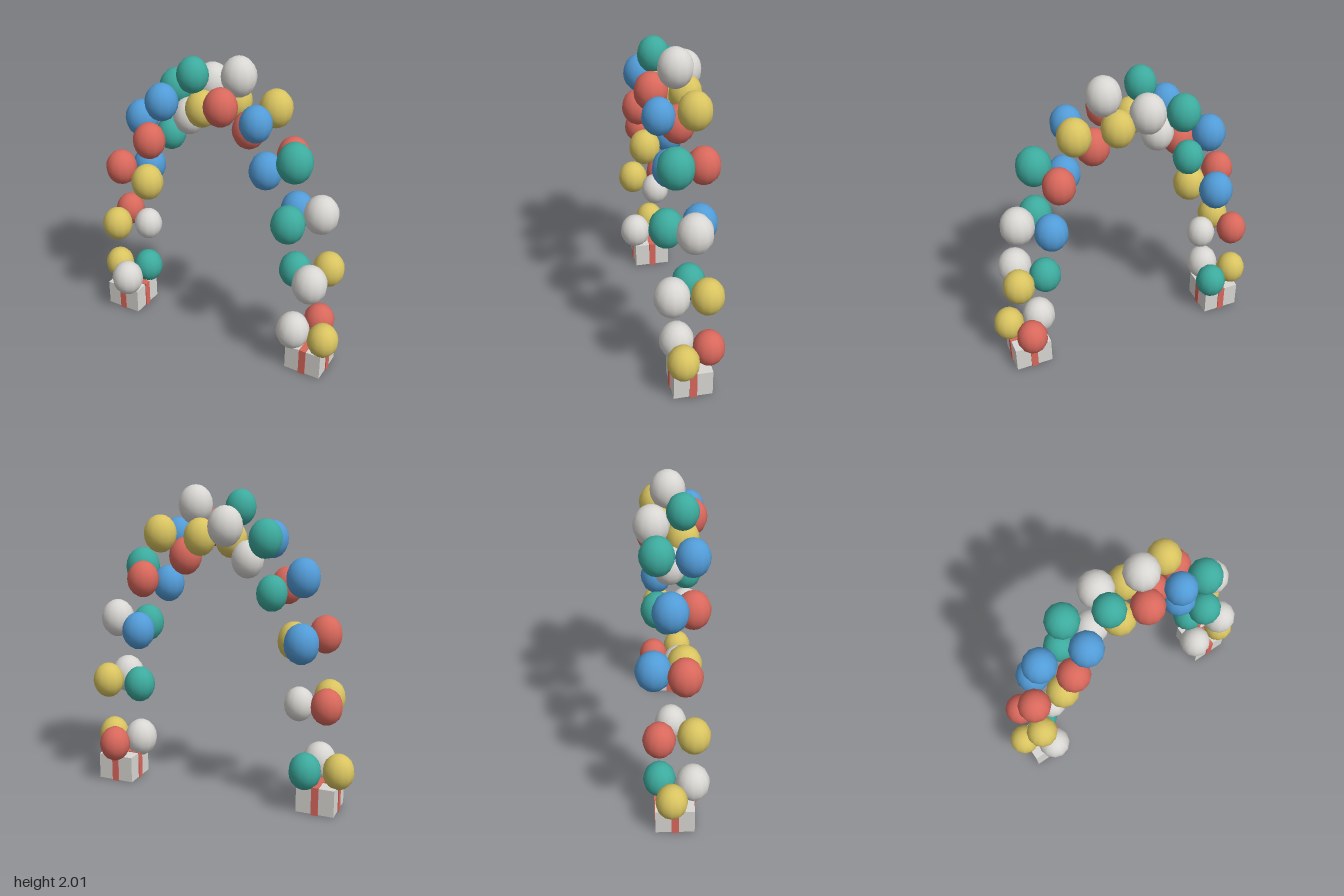
import * as THREE from 'three';

const mat = (name, color) => Object.assign(new THREE.MeshStandardMaterial({ color }), { name });

export function createModel() {
  const colours = {
    r: mat('red', 0xd9685c),
    t: mat('teal', 0x3dab9e),
    b: mat('blue', 0x529cd8),
    y: mat('yellow', 0xd9c460),
    w: mat('white', 0xd9d7d3),
  };
  const model = new THREE.Group();
  model.name = 'balloonArch';

  // Arch: half ellipse, with clusters of three balloons from right to left
  const halfWidth = 0.703, rise = 1.515, baseY = 0.27, centreX = 0.003, ring = 0.121;
  const clusters = [
    ['ywt', 0.100, 0.108, 0.103],
    ['ryw', 0.099, 0.101, 0.095],
    ['bry', 0.109, 0.103, 0.106],
    ['brt', 0.106, 0.103, 0.097],
    ['tbw', 0.104, 0.103, 0.102],
    ['wty', 0.109, 0.097, 0.101],
    ['wry', 0.107, 0.103, 0.102],
    ['ybr', 0.103, 0.098, 0.104],
    ['rtb', 0.101, 0.110, 0.103],
    ['wtb', 0.108, 0.106, 0.106],
    ['ywt', 0.101, 0.110, 0.103],
    ['ryw', 0.102, 0.101, 0.110],
  ];
  const balloon = new THREE.SphereGeometry(1, 12, 10);

  clusters.forEach(([keys, ...radii], i) => {
    const group = new THREE.Group();
    group.name = 'balloonCluster' + (i + 1);
    const t = Math.PI * (1 - i / (clusters.length - 1));
    group.position.set(centreX + halfWidth * Math.cos(t), baseY + rise * Math.sin(t), 0.003);
    // Ring lies across the arch: outward direction in the xy plane, and z
    const out = new THREE.Vector2(Math.cos(t) / halfWidth, Math.sin(t) / rise).normalize();
    radii.forEach((r, k) => {
      const a = THREE.MathUtils.degToRad(-10 - 40 * (i % 3) + 120 * k);
      const mesh = new THREE.Mesh(balloon, colours[keys[k]]);
      mesh.name = 'balloon';
      const d = ring * Math.cos(a);
      mesh.position.set(out.x * d, out.y * d, ring * Math.sin(a));
      mesh.scale.set(r, r * 1.155, r);
      group.add(mesh);
    });
    model.add(group);
  });

  // Gift box weights at both feet, each wrapped by two ribbon bands
  const addBox = (group, name, material, w, h, d) => {
    const mesh = new THREE.Mesh(new THREE.BoxGeometry(w, h, d), material);
    mesh.name = name;
    mesh.position.y = 0.0925;
    group.add(mesh);
  };
  for (const side of [-1, 1]) {
    const gift = new THREE.Group();
    gift.name = side < 0 ? 'rightGiftBox' : 'leftGiftBox';
    gift.position.set(centreX + side * halfWidth, 0, 0.003);
    addBox(gift, 'box', colours.w, 0.245, 0.175, 0.245);
    addBox(gift, 'ribbonAcross', colours.r, 0.257, 0.185, 0.046);
    addBox(gift, 'ribbonAlong', colours.r, 0.046, 0.185, 0.257);
    model.add(gift);
  }
  return model;
}
